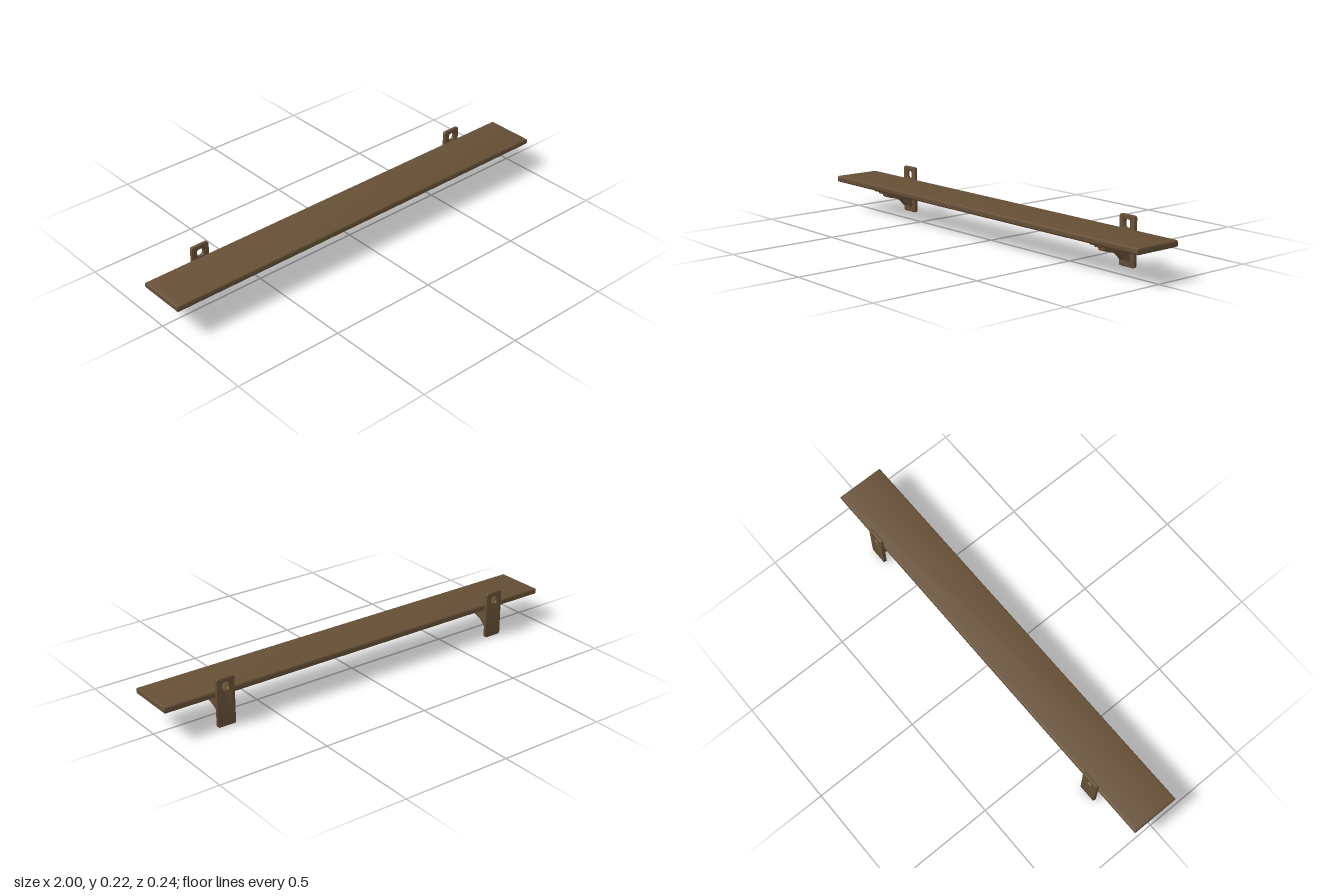
import * as THREE from 'three';
import { toCreasedNormals } from 'three/addons/utils/BufferGeometryUtils.js';

const wood = new THREE.MeshStandardMaterial({ color: 0x654f35 });

function part(name, geometry) {
  const mesh = new THREE.Mesh(toCreasedNormals(geometry, 0.6), wood);
  mesh.name = name;
  return mesh;
}

// Rectangle outline with rounded corners
function roundedRect(target, x0, y0, x1, y1, r) {
  target.absarc(x1 - r, y0 + r, r, -Math.PI / 2, 0);
  target.absarc(x1 - r, y1 - r, r, 0, Math.PI / 2);
  target.absarc(x0 + r, y1 - r, r, Math.PI / 2, Math.PI);
  target.absarc(x0 + r, y0 + r, r, Math.PI, Math.PI * 1.5);
  target.closePath();
  return target;
}

// Long board with softened upper and lower edges
function makeBoard() {
  const b = 0.009, bottom = 0.132, top = 0.162, front = 0.12, back = -0.104;
  const outline = new THREE.Shape([
    new THREE.Vector2(-1, -front), new THREE.Vector2(1, -front),
    new THREE.Vector2(1, -back), new THREE.Vector2(-1, -back),
  ]);
  const g = new THREE.ExtrudeGeometry(outline, {
    depth: top - bottom - 2 * b, bevelThickness: b, bevelSize: b,
    bevelOffset: -b, bevelSegments: 5,
  });
  g.rotateX(-Math.PI / 2).translate(0, bottom + b, 0);
  return part('shelfBoard', g);
}

// Upright wall plate with an arched hanging hole
function makeWallPlate() {
  const b = 0.002;
  const shape = roundedRect(new THREE.Shape(), -0.043, 0, 0.043, 0.217, 0.009);
  shape.holes.push(roundedRect(new THREE.Path(), -0.016, 0.162, 0.016, 0.198, 0.011));
  const g = new THREE.ExtrudeGeometry(shape, {
    depth: 0.015 - 2 * b, bevelThickness: b, bevelSize: b,
    bevelOffset: -b, bevelSegments: 2, curveSegments: 6,
  });
  g.translate(0, 0, -0.1185 + b);
  return part('wallPlate', g);
}

// Stepped corbel with an S-curved underside, drawn in the side plane
function makeCorbel() {
  const width = 0.034;
  const s = new THREE.Shape();
  s.moveTo(-0.105, 0.134);
  s.lineTo(-0.105, 0.024);
  s.lineTo(-0.089, 0.024);
  s.lineTo(-0.089, 0.034);
  s.lineTo(-0.077, 0.034);
  s.bezierCurveTo(-0.05, 0.073, -0.03, 0.07, 0.034, 0.088);
  s.quadraticCurveTo(0.041, 0.09, 0.041, 0.098);
  s.lineTo(0.041, 0.107);
  for (const z of [0.066, 0.09]) {
    const y = z < 0.08 ? 0.107 : 0.12;
    s.lineTo(z - 0.006, y);
    s.quadraticCurveTo(z, y, z, y + 0.005);
    s.lineTo(z, y + 0.013);
  }
  s.closePath();
  const g = new THREE.ExtrudeGeometry(s, { depth: width, bevelEnabled: false, curveSegments: 10 });
  g.rotateY(-Math.PI / 2).translate(width / 2, 0, 0);
  return part('corbel', g);
}

export function createModel() {
  const model = new THREE.Group();
  model.name = 'wallShelf';
  model.add(makeBoard());
  // Matching brackets near each end
  for (const side of [-1, 1]) {
    const bracket = new THREE.Group();
    bracket.name = side > 0 ? 'leftBracket' : 'rightBracket';
    bracket.add(makeWallPlate(), makeCorbel());
    bracket.position.x = side * 0.723;
    model.add(bracket);
  }
  return model;
}
